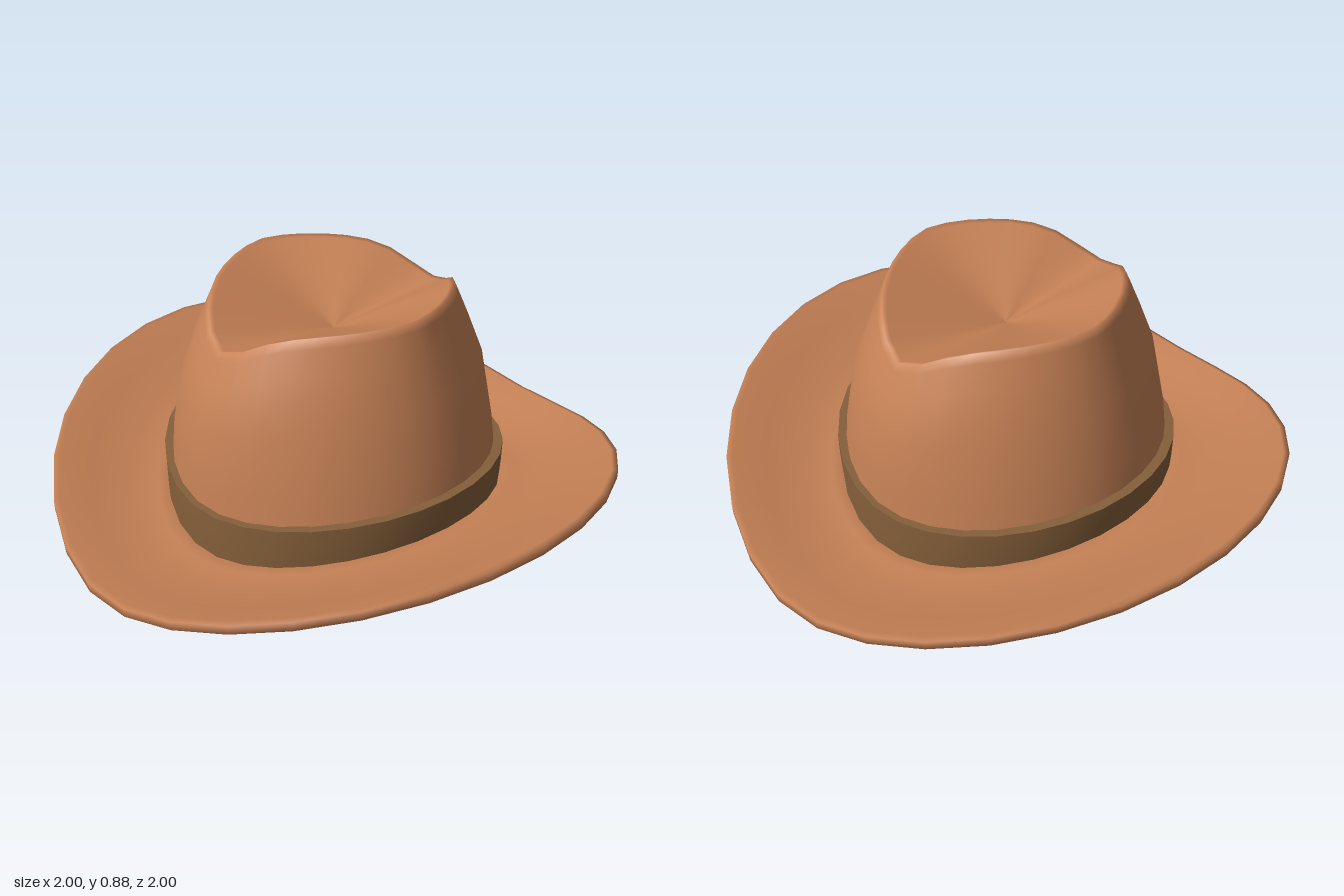
import * as THREE from 'three';

const SEG = 32;

// The brim sweeps up toward the front and back
const lift = (z) => 0.383 * (Math.sqrt(z * z + 0.09) - 0.3);

// Skin a stack of closed rings; point(row, angle) returns [x, y, z]
function loft(rows, point) {
  const pos = [], idx = [];
  rows.forEach((row) => {
    for (let j = 0; j < SEG; j++) pos.push(...point(row, (j / SEG) * Math.PI * 2));
  });
  for (let i = 0; i < rows.length - 1; i++) {
    for (let j = 0; j < SEG; j++) {
      const k = (j + 1) % SEG;
      const a = i * SEG + j, b = i * SEG + k, c = a + SEG, d = b + SEG;
      idx.push(a, c, b, b, c, d);
    }
  }
  const g = new THREE.BufferGeometry();
  g.setAttribute('position', new THREE.Float32BufferAttribute(pos, 3));
  g.setIndex(idx);
  g.computeVertexNormals();
  return g;
}

// Radius of a superellipse at an angle
function radiusAt(a, rx, rz, p) {
  const c = Math.abs(Math.cos(a)) / rx, s = Math.abs(Math.sin(a)) / rz;
  return Math.pow(Math.pow(c, p) + Math.pow(s, p), -1 / p);
}

// Crown rim: low at the sides, peaked at front and back
const rimHeight = (z) =>
  0.75 + 0.1 * (1 - Math.exp(-((z / 0.15) ** 2))) + 0.03 * (z / 0.41) ** 2;

const DENT = 0.69; // height of the middle of the dent

// A point on the crown wall: t = 0 at the base, 1 at the rim
function wallPoint([t, rx, rz], a) {
  const r = radiusAt(a, rx, rz, 2 - 0.4 * t * t);
  const x = r * Math.cos(a), z = r * Math.sin(a);
  const rimZ = radiusAt(a, 0.46, 0.41, 1.6) * Math.sin(a);
  const y0 = 0.045 + lift(z);
  return [x, y0 + (rimHeight(rimZ) - y0) * t, z];
}

// A point in the dented top: s = 1 at the rim, 0 in the middle
function dentPoint(s, a) {
  const [x, y, z] = wallPoint([1, 0.46, 0.41], a);
  return [x * s, DENT + (y - DENT) * s, z * s];
}

export function createModel() {
  const hat = new THREE.Group();
  hat.name = 'hat';
  const felt = new THREE.MeshStandardMaterial({ color: 0xc78256 });
  felt.name = 'tan felt';
  const ribbon = new THREE.MeshStandardMaterial({ color: 0x86603a });
  ribbon.name = 'brown ribbon';

  const add = (name, geometry, material) => {
    const m = new THREE.Mesh(geometry, material);
    m.name = name;
    hat.add(m);
  };

  // Brim: closed [radius, height] profile, bent along z
  const brim = [
    [0.54, 0.02], [0.62, 0.006], [0.73, 0.0], [0.87, 0.024], [0.98, 0.048],
    [1.0, 0.056], [1.0, 0.088], [0.98, 0.094], [0.87, 0.07], [0.74, 0.05],
    [0.64, 0.05], [0.58, 0.06], [0.54, 0.02],
  ];
  add('brim', loft(brim, ([r, y], a) => {
    const z = r * Math.sin(a);
    return [r * Math.cos(a), y + lift(z), z];
  }), felt);

  // Crown: wall rows, then the dent rows
  const wall = [
    [0, 0.59, 0.59], [0.35, 0.576, 0.548], [0.65, 0.56, 0.488],
    [0.84, 0.51, 0.445], [0.96, 0.474, 0.418], [1, 0.46, 0.41],
  ];
  const dent = [0.96, 0.85, 0.6, 0.3, 0.001];
  const crownPoint = (row, a) => (Array.isArray(row) ? wallPoint(row, a) : dentPoint(row, a));
  const crownRows = [...wall, ...dent];
  add('crown', loft(crownRows, crownPoint), felt);

  // Lining: the same skin drawn inward and facing inside
  add('crownLining', loft([...crownRows].reverse(), (row, a) => {
    const [x, y, z] = crownPoint(row, a);
    return [x * 0.925, y - 0.03, z * 0.925];
  }), felt);

  // Band: [radius, height, share of the brim's lift]
  const band = [
    [0.6, 0.04, 1], [0.603, 0.13, 0.83], [0.603, 0.225, 0.66],
  ];
  const bandPoint = ([r, y, k], a) => {
    const z = r * Math.sin(a);
    return [r * Math.cos(a), y + k * lift(z), z];
  };
  add('hatBand', loft(band, bandPoint), ribbon);
  add('hatBandTopEdge', loft([[0.603, 0.225, 0.66], [0.55, 0.225, 0.68]], bandPoint), ribbon);

  return hat;
}
